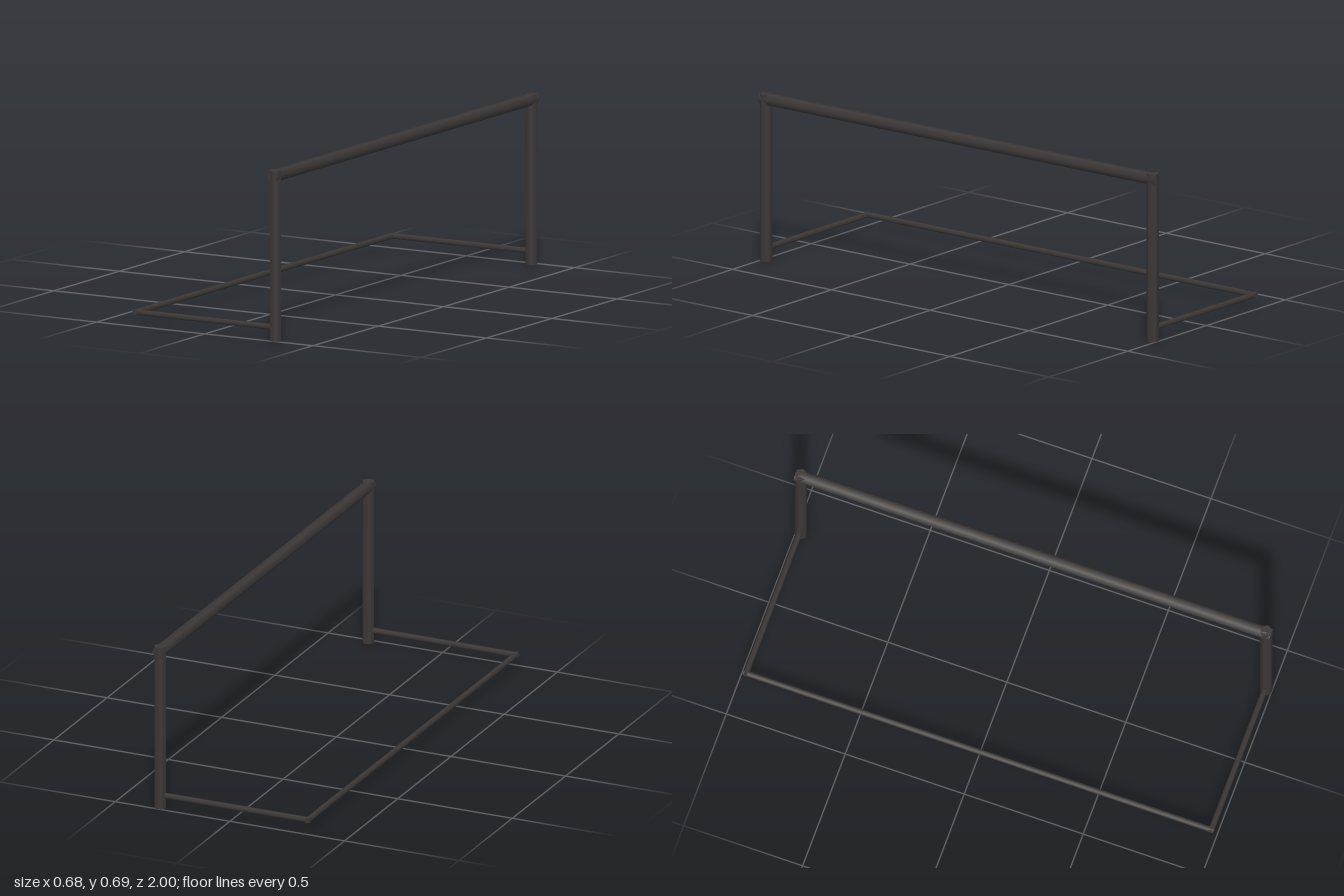
import * as THREE from 'three';

const material = new THREE.MeshStandardMaterial({ color: 0x3d3838 });

// Six-sided tube along an axis, with smooth sides and flat caps
function tube(name, radius, length, axis, x, y, z) {
  const geometry = new THREE.CylinderGeometry(radius, radius, length, 6);
  if (axis === 'x') geometry.rotateZ(Math.PI / 2);
  else geometry.rotateY(Math.PI / 6);
  if (axis === 'z') geometry.rotateX(Math.PI / 2);
  const mesh = new THREE.Mesh(geometry, material);
  mesh.name = name;
  mesh.position.set(x, y, z);
  return mesh;
}

export function createModel() {
  const group = new THREE.Group();
  group.name = 'goalFrame';

  const height = 0.686, postX = 0.314, postR = 0.0255;
  const inset = postR * Math.cos(Math.PI / 6); // half the flat-to-flat width
  const postZ = 1 - inset;
  const railY = 0.053, railR = 0.012, backX = -0.33;

  // Posts and ground rails at both ends
  for (const [side, s] of [['front', 1], ['back', -1]]) {
    group.add(tube(side + 'Post', postR, height, 'y', postX, height / 2, s * postZ));
    const start = backX - 0.0095;
    group.add(tube(side + 'GroundRail', railR, postX - start, 'x',
      (postX + start) / 2, railY, s * postZ));
  }

  // Crossbar flush with the tops and outer faces of the posts
  group.add(tube('crossbar', postR, 2, 'z', postX, height - inset, 0));

  // Rear ground rail joining the two side rails
  group.add(tube('rearGroundRail', railR, 2 * (postZ + 0.011), 'z', backX, railY, 0));

  return group;
}
